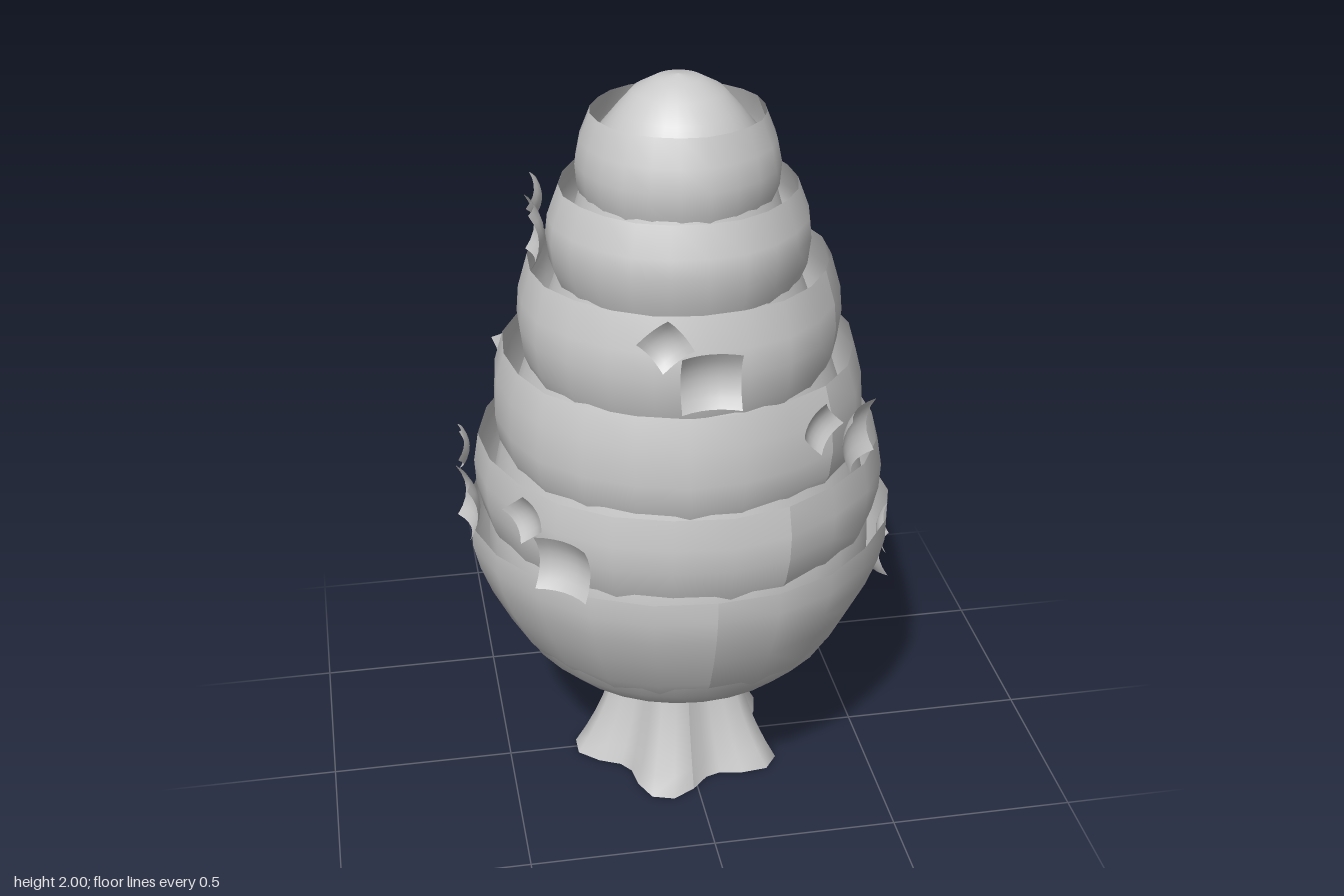
import * as THREE from 'three';

const CX = -0.012; // axis of the tree

function lathe(points, segments, mat, name) {
  const curve = points.map(([r, y]) => new THREE.Vector2(r, y));
  const mesh = new THREE.Mesh(new THREE.LatheGeometry(curve, segments), mat);
  mesh.name = name;
  mesh.position.x = CX;
  return mesh;
}

// Trunk: round at the top, flaring into five roots, one of them towards -x
function trunk(mat) {
  const geo = new THREE.CylinderGeometry(1, 1, 1, 30, 8);
  const pos = geo.attributes.position;
  for (let i = 0; i < pos.count; i++) {
    const x = pos.getX(i), z = pos.getZ(i), t = pos.getY(i) + 0.5;
    const flare = Math.pow(1 - t, 2.2);
    const lobe = Math.cos(5 * (Math.atan2(z, x) - Math.PI));
    const r = 0.15 + 0.02 * (1 - t) + 0.085 * flare + lobe * (0.018 + 0.03 * flare);
    pos.setXYZ(i, x * r, t * 0.4, z * r);
  }
  geo.computeVertexNormals();
  const mesh = new THREE.Mesh(geo, mat);
  mesh.name = 'trunk';
  mesh.position.x = CX;
  return mesh;
}

// Curled square leaf, corners bending away from the crown
function leaf(size, mat) {
  const geo = new THREE.PlaneGeometry(size, size, 6, 6);
  const pos = geo.attributes.position;
  for (let i = 0; i < pos.count; i++) {
    const u = pos.getX(i) / size * 2, v = pos.getY(i) / size * 2;
    pos.setZ(i, size * (0.13 * u * u + 0.17 * v * v - 0.06));
  }
  geo.computeVertexNormals();
  return new THREE.Mesh(geo, mat);
}

export function createModel() {
  const model = new THREE.Group();
  const mat = new THREE.MeshStandardMaterial({ color: 0xcccccc, side: THREE.DoubleSide });

  model.add(trunk(mat));

  // Egg-shaped core showing at the top, the underside and between the tiers
  model.add(lathe([
    [0, 0.275], [0.1, 0.28], [0.24, 0.31], [0.37, 0.375], [0.435, 0.44], [0.49, 0.55],
    [0.52, 0.68], [0.515, 0.81], [0.475, 1.0], [0.43, 1.15], [0.38, 1.3], [0.325, 1.45],
    [0.28, 1.6], [0.235, 1.76], [0.2, 1.86], [0.155, 1.915], [0.115, 1.96], [0.06, 1.99], [0, 2],
  ], 32, mat, 'crownCore'));

  // Overlapping open tiers, each tucked into the rim of the one below
  const tiers = [
    [[0.425, 0.435], [0.475, 0.5], [0.525, 0.6], [0.555, 0.68], [0.572, 0.75], [0.572, 0.81]],
    [[0.49, 0.74], [0.525, 0.81], [0.541, 0.88], [0.545, 0.95], [0.532, 1.03]],
    [[0.455, 0.97], [0.483, 1.03], [0.492, 1.1], [0.486, 1.2], [0.463, 1.28]],
    [[0.385, 1.21], [0.414, 1.28], [0.424, 1.36], [0.418, 1.43], [0.392, 1.52]],
    [[0.305, 1.45], [0.333, 1.52], [0.341, 1.59], [0.335, 1.64], [0.305, 1.72]],
    [[0.235, 1.66], [0.257, 1.72], [0.262, 1.78], [0.25, 1.84], [0.222, 1.91]],
  ];
  tiers.forEach((profile, k) => {
    const tier = lathe(profile, 22, mat, 'crownTier' + (k + 1));
    // Slight unevenness around the rim
    const pos = tier.geometry.attributes.position;
    for (let i = 0; i < pos.count; i++) {
      const x = pos.getX(i), z = pos.getZ(i);
      const s = 1 + 0.008 * Math.sin(Math.atan2(z, x) * 7 + k * 2);
      pos.setXYZ(i, x * s, pos.getY(i), z * s);
    }
    tier.geometry.computeVertexNormals();
    tier.rotation.y = k * 0.37;
    model.add(tier);
  });

  // Leaf pairs: angle from the front towards +x, height, radius, roll, angle of small leaf, its rise
  const pairs = [
    [0, 1.37, 0.435, 0, -14, 0.1],
    [52, 1.12, 0.5, 0, 33, 0.09],
    [91, 0.585, 0.545, -0.27, 78, 0.125],
    [142, 0.88, 0.56, 0, 129, 0.1],
    [180, 1.37, 0.435, 0, 166, 0.1],
    [232, 1.12, 0.5, 0, 213, 0.09],
    [277, 0.88, 0.56, 0, 264, 0.1],
    [268, 1.6, 0.352, 0, 254, 0.06],
    [320, 0.88, 0.56, 0, 308, 0.1],
  ];
  const addLeaf = (name, size, deg, y, r, roll) => {
    const mesh = leaf(size, mat);
    const a = THREE.MathUtils.degToRad(deg);
    mesh.name = name;
    mesh.position.set(CX + r * Math.sin(a), y, r * Math.cos(a));
    mesh.rotation.set(0, a, roll, 'YXZ');
    model.add(mesh);
  };
  for (const [deg, y, r, roll, smallDeg, rise] of pairs) {
    addLeaf('largeLeaf', 0.15, deg, y, r, roll);
    addLeaf('smallLeaf', 0.1, smallDeg, y + rise, r + 0.005, 0.7 + roll);
  }
  return model;
}
